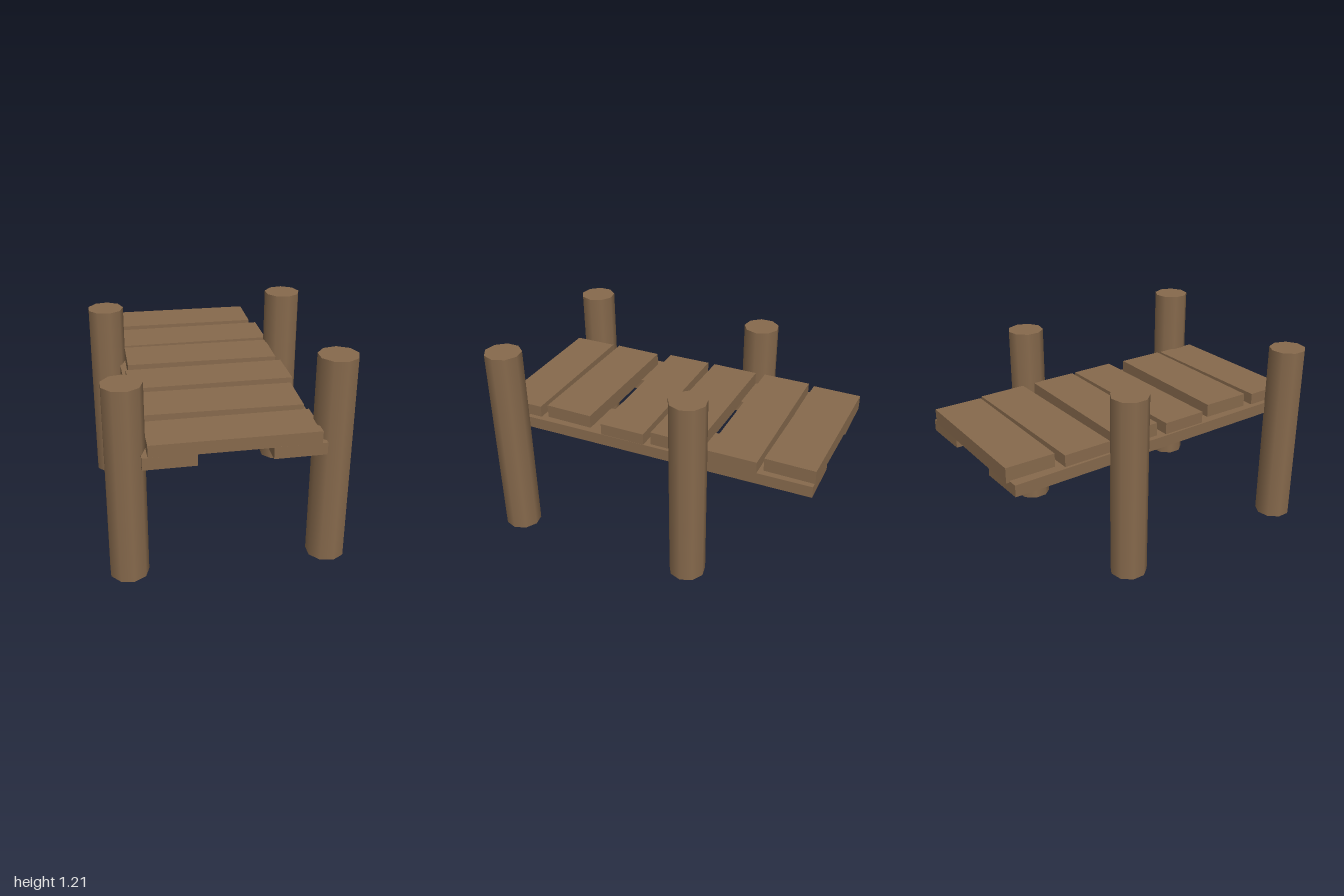
import * as THREE from 'three';

export function createModel() {
  const group = new THREE.Group();
  group.name = 'dock';
  const wood = new THREE.MeshStandardMaterial({ color: 0x86694c });
  wood.name = 'brown wood';

  function add(name, geometry, x, y, z, turn) {
    const mesh = new THREE.Mesh(geometry, wood);
    mesh.name = name;
    mesh.position.set(x, y, z);
    mesh.rotation.y = turn;
    group.add(mesh);
  }

  // nine-sided posts of uneven height: x, z, height
  const posts = [
    ['frontRightPost', -0.57, 0.89, 1.135],
    ['frontLeftPost', 0.552, 0.885, 1.21],
    ['backRightPost', -0.57, -0.3, 1.12],
    ['backLeftPost', 0.562, -0.287, 1.17],
  ];
  for (const [name, x, z, h] of posts) {
    add(name, new THREE.CylinderGeometry(0.11, 0.11, h, 9), x, h / 2, z, Math.PI / 18);
  }

  // two long, slightly skewed boards under the deck
  add('rightBeam', new THREE.BoxGeometry(0.29, 0.07, 1.98), -0.352, 0.725, 0.008, 0.006);
  add('leftBeam', new THREE.BoxGeometry(0.29, 0.07, 1.98), 0.34, 0.725, 0.008, 0.005);

  // deck planks, every second one thicker and turned: z, width, depth
  const planks = [
    [0.863, 0.92, 0.27],
    [0.535, 0.89, 0.295],
    [0.165, 0.967, 0.275],
    [-0.162, 0.925, 0.29],
    [-0.515, 0.967, 0.295],
    [-0.845, 0.89, 0.295],
  ];
  planks.forEach(([z, w, d], i) => {
    const turned = i % 2 === 1;
    const bottom = turned ? 0.75 : 0.757;
    const top = turned ? 0.84 : 0.83;
    add('plank' + (i + 1), new THREE.BoxGeometry(w, top - bottom, d),
      0, (top + bottom) / 2, z, turned ? -0.017 : 0);
  });

  return group;
}
